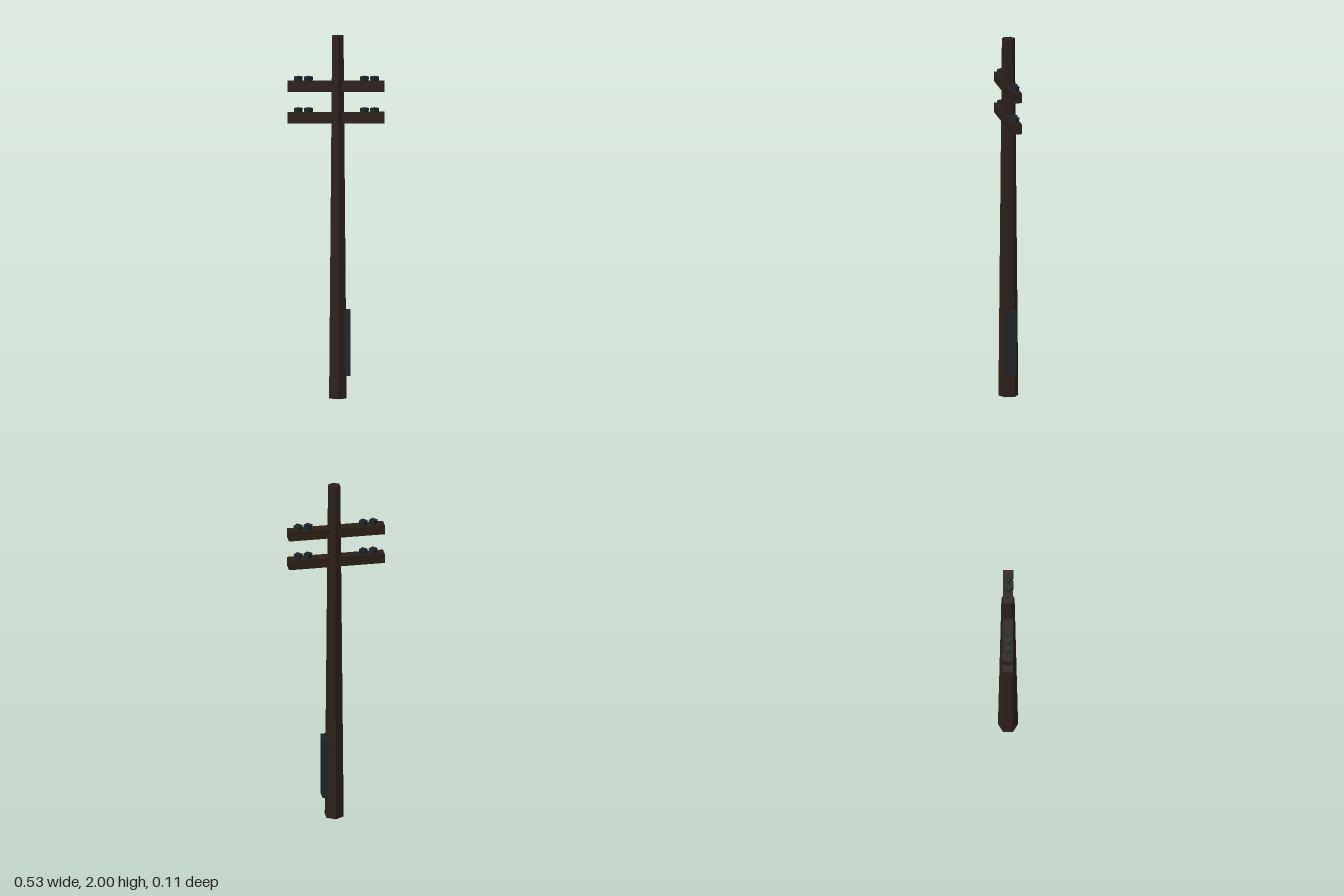
import * as THREE from 'three';

export function createModel() {
  const group = new THREE.Group();
  const wood = new THREE.MeshStandardMaterial({ color: 0x2c1f18, flatShading: true });
  const metal = new THREE.MeshStandardMaterial({ color: 0x1e2529, flatShading: true });

  const add = (name, geometry, material, x, y, z = 0) => {
    const mesh = new THREE.Mesh(geometry, material);
    mesh.name = name;
    mesh.position.set(x, y, z);
    group.add(mesh);
  };

  // Tapered hexagonal pole, slightly off centre
  add('pole', new THREE.CylinderGeometry(0.036, 0.055, 2, 6), wood, 0.01, 1);

  // Two crossarms, each carrying two pairs of four-sided insulators
  const armHeight = 0.055;
  const armGeometry = new THREE.BoxGeometry(0.53, armHeight, 0.055);
  const insulatorGeometry = new THREE.CylinderGeometry(0.024, 0.023, 0.028, 4);
  for (const [level, y] of [['lower', 1.548], ['upper', 1.722]]) {
    add(`${level}Crossarm`, armGeometry, wood, 0, y);
    [-0.205, -0.15, 0.155, 0.21].forEach((x, i) =>
      add(`${level}Insulator${i + 1}`, insulatorGeometry, metal, x, y + armHeight / 2 + 0.012));
  }

  // Equipment box fixed to the left side of the pole
  add('equipmentBox', new THREE.BoxGeometry(0.06, 0.36, 0.065), metal, 0.05, 0.305, -0.001);

  return group;
}
